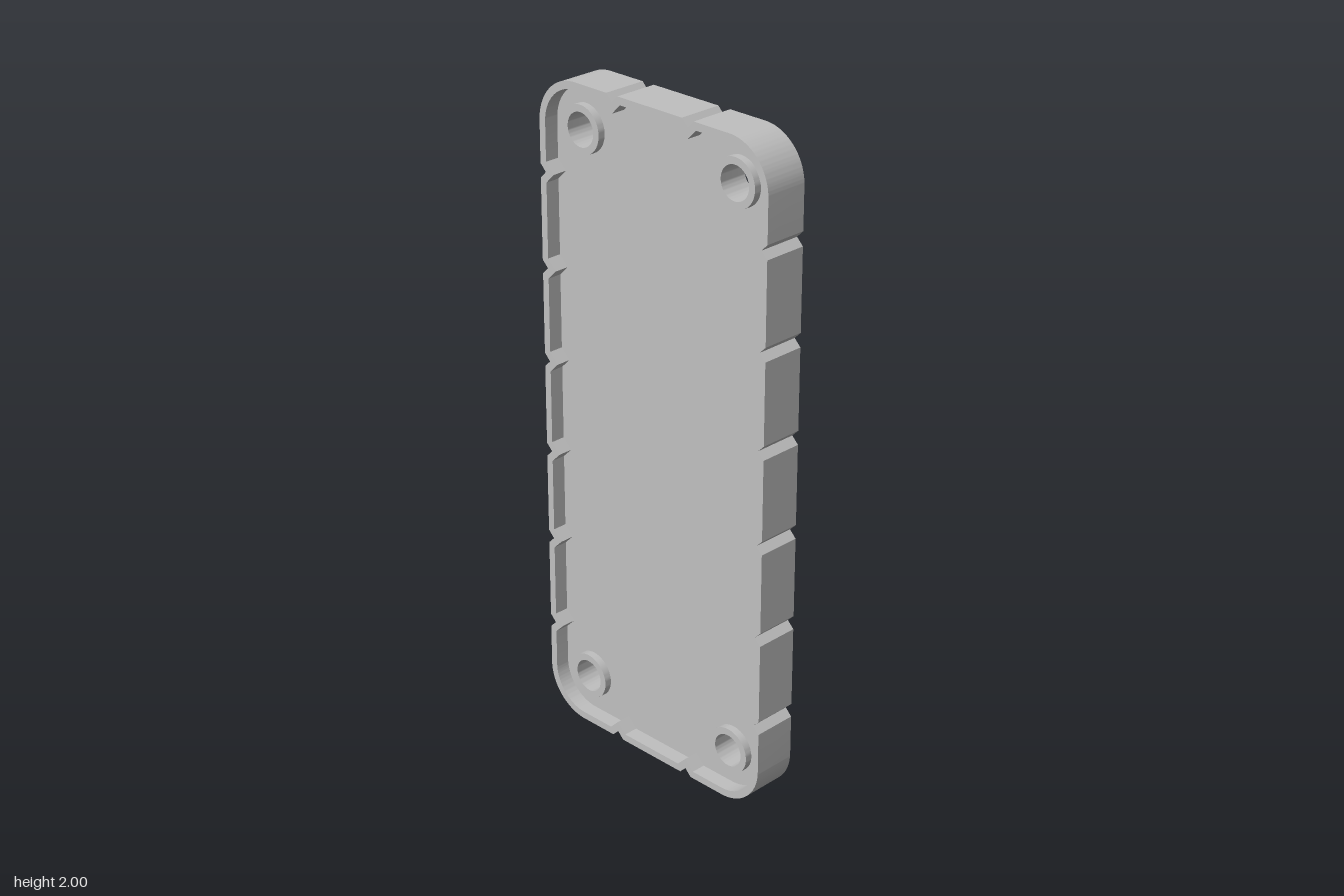
import * as THREE from 'three';
import { toCreasedNormals } from 'three/addons/utils/BufferGeometryUtils.js';

const HALF_W = 0.425, HALF_H = 1, DEPTH = 0.135, WALL = 0.0225, CORNER = 0.14;
const BOSS_X = 0.287, BOSS_Y = 0.86, BOSS_R = 0.071, HOLE_R = 0.05;
const SIDE_NOTCHES = [-2.5, -1.5, -0.5, 0.5, 1.5, 2.5].map((k) => (k * 2) / 7);
const END_NOTCHES = [-0.14, 0.14];

// Rounded rectangle with V notches, inset evenly from the outer edge
function outline(inset, Type) {
  const w = HALF_W - inset, h = HALF_H - inset, r = CORNER - inset;
  const v = 0.021 + inset * (Math.SQRT2 - 1); // notch depth and half-width
  const s = new Type();
  // One straight edge, walked along its direction, with notches pointing inward
  const edge = (half, dist, angle, notches) => {
    const c = Math.cos(angle), n = Math.sin(angle);
    const put = (along, out) => s.lineTo(along * c + out * n, -out * c + along * n);
    for (const t of notches) {
      put(t - v, dist);
      put(t, dist - v);
      put(t + v, dist);
    }
    put(half - r, dist);
  };
  const corner = (sx, sy, start) =>
    s.absarc(sx * (w - r), sy * (h - r), r, start, start + Math.PI / 2, false);
  s.moveTo(-(w - r), -h);
  edge(w, h, 0, END_NOTCHES);
  corner(1, -1, -Math.PI / 2);
  edge(h, w, Math.PI / 2, SIDE_NOTCHES);
  corner(1, 1, 0);
  edge(w, h, Math.PI, END_NOTCHES);
  corner(-1, 1, Math.PI / 2);
  edge(h, w, Math.PI * 1.5, SIDE_NOTCHES);
  corner(-1, -1, Math.PI);
  return s;
}

function circle(Type, x, y, r) {
  const c = new Type();
  c.absarc(x, y, r, 0, Math.PI * 2, false);
  return c;
}

// Extrude symmetrically about z = 0 with smooth curved walls
function slab(shape, depth) {
  const g = new THREE.ExtrudeGeometry(shape, { depth, bevelEnabled: false, curveSegments: 32 });
  g.translate(0, 0, -depth / 2);
  return toCreasedNormals(g, Math.PI / 6);
}

export function createModel() {
  const model = new THREE.Group();
  model.name = 'notchedCover';
  const grey = new THREE.MeshStandardMaterial({ color: 0xc0c0c0 });
  grey.name = 'lightGrey';

  const add = (name, geometry, x = 0, y = 0) => {
    const mesh = new THREE.Mesh(geometry, grey);
    mesh.name = name;
    mesh.position.set(x, y + HALF_H, 0);
    model.add(mesh);
  };

  // Thin notched wall around the edge
  const rim = outline(0, THREE.Shape);
  rim.holes.push(outline(WALL, THREE.Path));
  add('rim', slab(rim, DEPTH));

  // Central web, recessed on both faces
  const web = outline(WALL, THREE.Shape);

  // Screw bosses with through holes in the four corners
  const ring = circle(THREE.Shape, 0, 0, BOSS_R);
  ring.holes.push(circle(THREE.Path, 0, 0, HOLE_R));
  const bossGeometry = slab(ring, 0.09);
  for (const sx of [-1, 1]) {
    for (const sy of [-1, 1]) {
      web.holes.push(circle(THREE.Path, sx * BOSS_X, sy * BOSS_Y, BOSS_R));
      add('screwBoss', bossGeometry, sx * BOSS_X, sy * BOSS_Y);
    }
  }
  add('web', slab(web, 0.045));
  return model;
}
